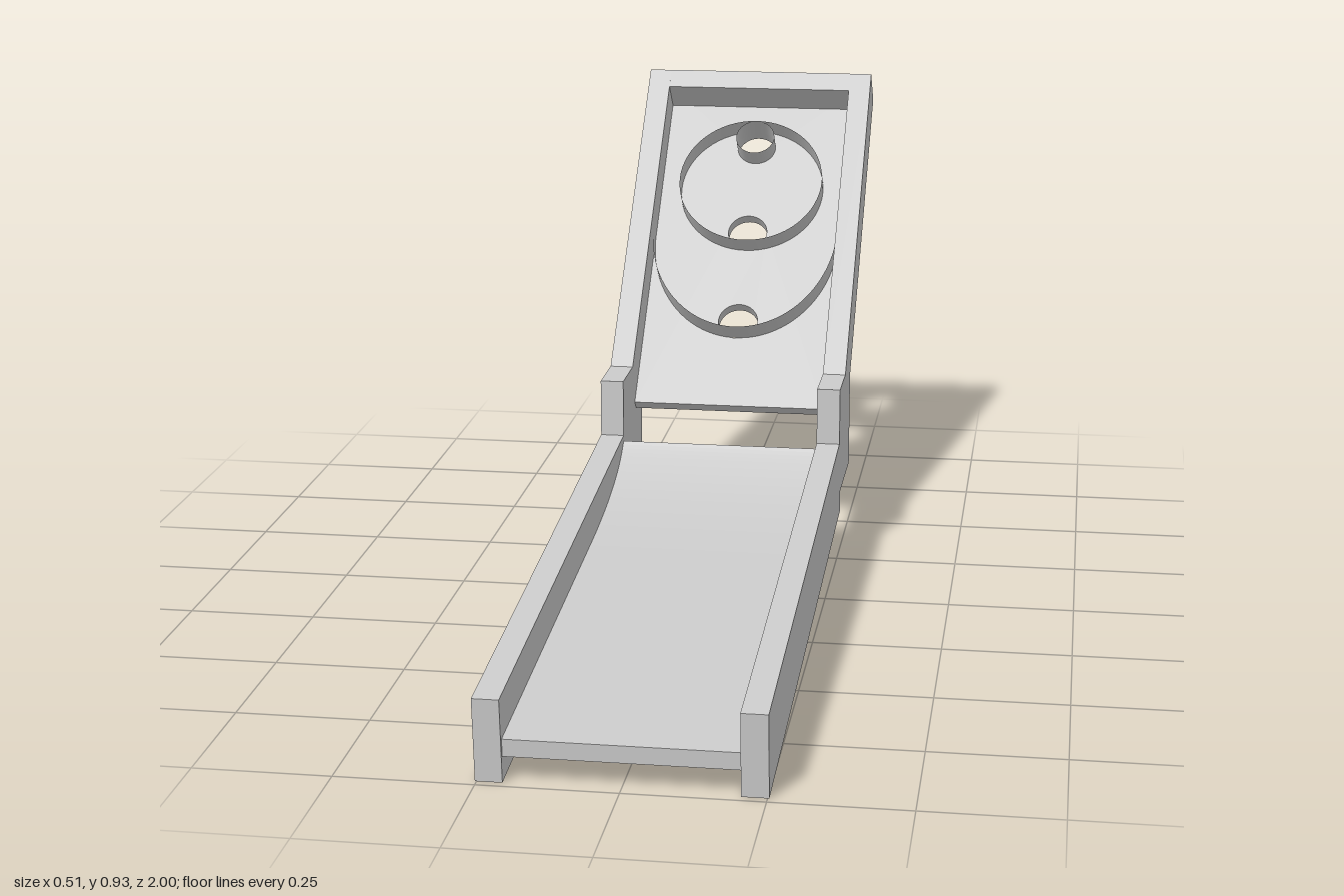
import * as THREE from 'three';

const grey = new THREE.MeshStandardMaterial({ color: 0xcccccc });
const thin = new THREE.MeshStandardMaterial({ color: 0xcccccc, side: THREE.DoubleSide });

// Extrude a (z, y) side profile across x, from x0 to x1
function sideExtrude(name, shape, x0, x1) {
  const geo = new THREE.ExtrudeGeometry(shape, { depth: x1 - x0, bevelEnabled: false, curveSegments: 24 });
  geo.rotateY(-Math.PI / 2).translate(x1, 0, 0);
  const mesh = new THREE.Mesh(geo, grey);
  mesh.name = name;
  return mesh;
}

// Thin upright wall of height h following an elliptical arc on the target board
function arcWall(name, cy, rx, ry, a0, a1, h) {
  const pts = new THREE.EllipseCurve(0, cy, rx, ry, a0, a1).getPoints(64);
  const pos = [], idx = [];
  pts.forEach((p, i) => {
    pos.push(p.x, p.y, 0, p.x, p.y, h);
    if (i) {
      const a = 2 * i - 2;
      idx.push(a, a + 2, a + 1, a + 1, a + 2, a + 3);
    }
  });
  const geo = new THREE.BufferGeometry();
  geo.setAttribute('position', new THREE.Float32BufferAttribute(pos, 3));
  geo.setIndex(idx);
  geo.computeVertexNormals();
  const mesh = new THREE.Mesh(geo, thin);
  mesh.name = name;
  return mesh;
}

export function createModel() {
  const model = new THREE.Group();
  model.name = 'ballRollGame';
  const inner = 0.205, outer = 0.253;

  // Side walls: lane rail, bracket and sloping target frame in one outline
  const rail = new THREE.Shape([
    [1, 0.16], [0.985, 0.003], [-0.28, 0.1], [-0.28, 0.145], [-0.48, 0.145], [-0.48, 0.345],
    [-0.995, 0.86], [-0.925, 0.93], [-0.365, 0.375], [-0.245, 0.375], [-0.245, 0.257],
  ].map(([z, y]) => new THREE.Vector2(z, y)));
  model.add(sideExtrude('leftSideWall', rail, inner, outer));
  model.add(sideExtrude('rightSideWall', rail, -outer, -inner));

  // Lane: gently rising, curling up at the far end
  const lane = new THREE.Shape();
  lane.moveTo(0.982, 0.05);
  lane.lineTo(0.985, 0.083);
  lane.lineTo(0.15, 0.147);
  lane.quadraticCurveTo(-0.171, 0.171, -0.245, 0.245);
  lane.lineTo(-0.279, 0.232);
  lane.quadraticCurveTo(-0.19, 0.14, 0.14, 0.114);
  model.add(sideExtrude('lane', lane, -inner, inner));

  // Target board: local y runs up the slope, local z is its normal
  const board = new THREE.Group();
  board.name = 'targetBoard';
  board.position.set(0, 0.29, -0.389);
  board.rotation.x = -Math.PI / 4;
  model.add(board);

  const holeR = 0.043, wallH = 0.044, plateT = 0.025, length = 0.832;
  const plate = new THREE.Shape();
  plate.moveTo(-inner, 0);
  plate.lineTo(inner, 0);
  plate.lineTo(inner, length);
  plate.lineTo(-inner, length);
  for (const y of [0.212, 0.444, 0.672]) {
    plate.holes.push(new THREE.Path().absarc(0, y, holeR, 0, Math.PI * 2, true));
  }
  const plateGeo = new THREE.ExtrudeGeometry(plate, { depth: plateT, bevelEnabled: false, curveSegments: 32 });
  const backPlate = new THREE.Mesh(plateGeo.translate(0, 0, -plateT), grey);
  backPlate.name = 'backPlate';
  board.add(backPlate);

  // Bar closing the top of the frame
  const topBar = new THREE.Mesh(new THREE.BoxGeometry(inner * 2, 0.047, 0.0735), grey);
  topBar.name = 'topBar';
  topBar.position.set(0, length - 0.0235, 0.0367);
  board.add(topBar);

  // Scoring rings and the lower catch wall
  board.add(
    arcWall('topHoleRing', 0.672, holeR, holeR, 0, Math.PI * 2, wallH),
    arcWall('middleRing', 0.556, 0.16, 0.16, 0, Math.PI * 2, wallH),
    arcWall('catchWall', 0.425, inner, 0.255, Math.PI, Math.PI * 2, wallH + 0.004),
  );
  return model;
}
